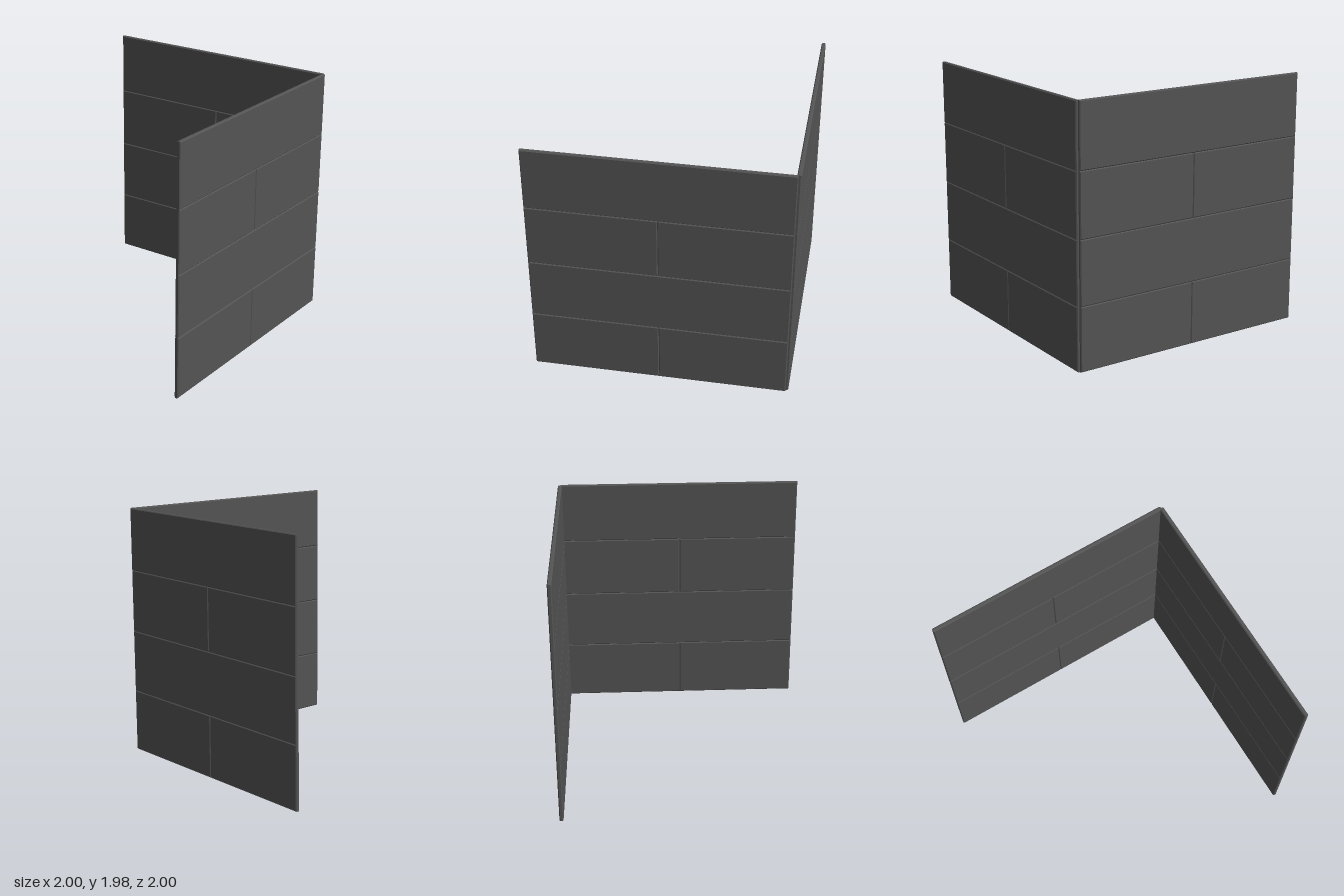
import * as THREE from 'three';

const stone = new THREE.MeshStandardMaterial({ color: 0x545454 });
stone.name = 'dark grey panel';

const BEVEL = 0.007, THICK = 0.032, COURSE = 0.496, START = -1, END = 0.98;

// Flat slab with chamfered edges, spanning x0..x1 and y0..y1, z from 0 to THICK
function panel(name, x0, x1, y0, y1) {
  const s = new THREE.Shape();
  s.moveTo(x0 + BEVEL, y0 + BEVEL);
  s.lineTo(x1 - BEVEL, y0 + BEVEL);
  s.lineTo(x1 - BEVEL, y1 - BEVEL);
  s.lineTo(x0 + BEVEL, y1 - BEVEL);
  s.closePath();
  const g = new THREE.ExtrudeGeometry(s, {
    depth: THICK - 2 * BEVEL, bevelEnabled: true, bevelSegments: 1,
    bevelSize: BEVEL, bevelThickness: BEVEL,
  });
  g.translate(0, 0, BEVEL);
  const mesh = new THREE.Mesh(g, stone);
  mesh.name = name;
  return mesh;
}

// Four courses: split panels alternate with full-length ones
function wall(name, start, end) {
  const group = new THREE.Group();
  group.name = name;
  const mid = (start + end) / 2;
  for (let i = 0; i < 4; i++) {
    const y0 = i * COURSE, y1 = y0 + COURSE;
    if (i % 2 === 0) {
      group.add(panel('halfPanel', start, mid, y0, y1), panel('halfPanel', mid, end, y0, y1));
    } else {
      group.add(panel('longPanel', start, end, y0, y1));
    }
  }
  return group;
}

export function createModel() {
  const model = new THREE.Group();
  model.name = 'cornerWall';

  const front = wall('frontWall', START, END);
  front.position.z = 1 - THICK;

  // Side wall turned a quarter so its outer face looks toward +x
  const side = wall('sideWall', -END, -START);
  side.rotation.y = Math.PI / 2;
  side.position.x = 1 - THICK;

  model.add(front, side);
  return model;
}
